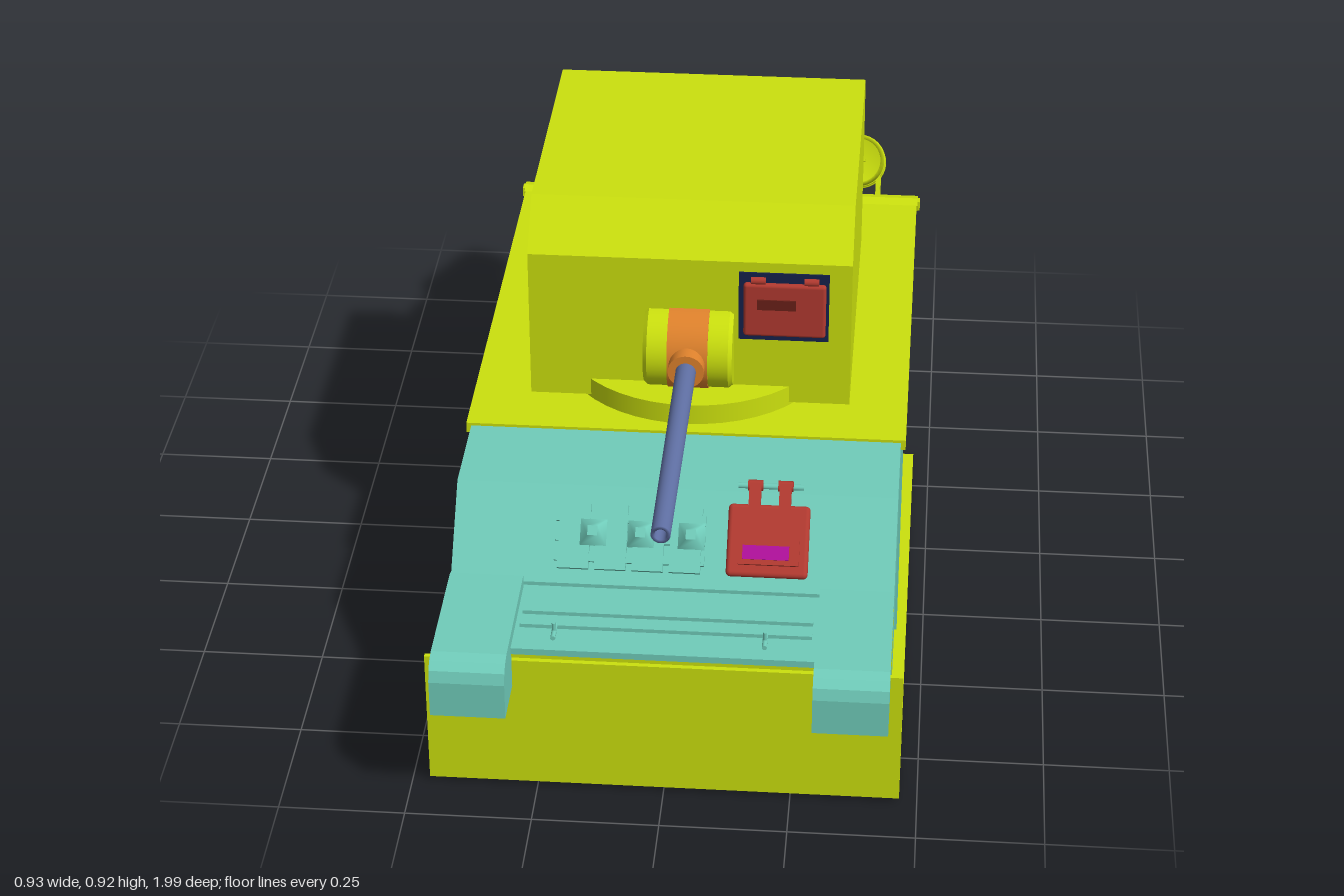
import * as THREE from 'three';
import { RoundedBoxGeometry } from 'three/addons/geometries/RoundedBoxGeometry.js';

const mat = (color) => new THREE.MeshStandardMaterial({ color, side: THREE.DoubleSide });
const yellow = mat(0xcbe00e), teal = mat(0x70ccba), red = mat(0xb23a30), orange = mat(0xdf822c);
const navy = mat(0x14224c), steel = mat(0x5f6fa3), magenta = mat(0xb0109c), dark = mat(0x6a2018);

function add(parent, name, geo, material, x = 0, y = 0, z = 0) {
  const m = new THREE.Mesh(geo, material);
  m.name = name;
  m.position.set(x, y, z);
  parent.add(m);
  return m;
}

// Box given by its limits on each axis
function box(parent, name, material, x0, x1, y0, y1, z0, z1) {
  return add(parent, name, new THREE.BoxGeometry(x1 - x0, y1 - y0, z1 - z0), material,
    (x0 + x1) / 2, (y0 + y1) / 2, (z0 + z1) / 2);
}

// Side profile of [z, y] points, extruded from x0 to x1
function prism(parent, name, material, pts, x0, x1) {
  const shape = new THREE.Shape(pts.map(([z, y]) => new THREE.Vector2(-z, y)));
  const geo = new THREE.ExtrudeGeometry(shape, { depth: x1 - x0, bevelEnabled: false });
  geo.rotateY(Math.PI / 2);
  return add(parent, name, geo, material, x0);
}

function rod(parent, name, material, r, len, x, y, z, axis = 'y', seg = 24) {
  const geo = new THREE.CylinderGeometry(r, r, len, seg);
  if (axis === 'x') geo.rotateZ(Math.PI / 2);
  if (axis === 'z') geo.rotateX(Math.PI / 2);
  return add(parent, name, geo, material, x, y, z);
}

// Fuel drum: open at the rear, capped at the front, axis along local z
function fuelDrum(parent, x) {
  const g = new THREE.Group();
  g.name = 'fuelDrum';
  const profile = [[0, 0.118], [0.05, 0.118], [0.05, 0.126], [0.058, 0.126], [0.058, -0.126], [0.051, -0.126],
    [0.051, 0.1], [0, 0.1]].map(([r, h]) => new THREE.Vector2(r, h));
  const shell = new THREE.LatheGeometry(profile, 32);
  shell.rotateX(Math.PI / 2);
  shell.computeVertexNormals();
  add(g, 'drumShell', shell, yellow);
  for (const z of [-0.07, 0.07]) {
    add(g, 'drumStrap', new THREE.TorusGeometry(0.058, 0.003, 6, 32), yellow, 0, 0, z);
    for (const s of [-1, 1]) box(g, 'drumBracket', yellow, s * 0.045 - 0.005, s * 0.045 + 0.005, -0.085, -0.03, z - 0.008, z + 0.008);
  }
  box(g, 'drumHandle', yellow, -0.016, 0.016, -0.003, 0.003, 0.115, 0.126);
  g.position.set(x, 0.502, -0.855);
  g.rotation.x = -0.51;
  parent.add(g);
}

function buildHull(root) {
  const hull = new THREE.Group();
  hull.name = 'hull';
  root.add(hull);
  box(hull, 'rearHull', yellow, -0.44, 0.44, 0.012, 0.48, -0.315, 0.3);
  box(hull, 'noseBox', yellow, -0.42, 0.42, 0.012, 0.33, 0.68, 0.88);
  box(hull, 'frontPlate', yellow, -0.465, 0.465, 0.01, 0.302, 0.882, 0.892);
  box(hull, 'floorPlate', yellow, -0.465, 0.465, 0.008, 0.011, -0.365, 0.89);
  prism(hull, 'frontHull', teal, [[0.685, 0], [0.685, 0.345], [0.55, 0.49], [0.3, 0.49], [0.3, 0]], -0.44, 0.44);

  for (const s of [-1, 1]) {
    // Recessed nose sides between posts, and seam strips
    for (const z of [0.69, 0.87]) box(hull, 'nosePost', yellow, s * 0.43 - 0.01, s * 0.43 + 0.01, 0.012, 0.33, z - 0.012, z + 0.012);
    box(hull, 'noseRail', yellow, s * 0.43 - 0.01, s * 0.43 + 0.01, 0.305, 0.33, 0.69, 0.87);
    box(hull, 'seamStrip', teal, s * 0.442 - 0.003, s * 0.442 + 0.003, 0.01, 0.473, 0.302, 0.325);
    // Fenders with a rounded drop at the front
    prism(hull, 'fender', teal, [[0.69, 0.335], [0.69, 0.362], [0.955, 0.362], [0.978, 0.356], [0.993, 0.343],
      [1, 0.32], [1, 0.243], [0.893, 0.243], [0.893, 0.335]], s * 0.367 - 0.073, s * 0.367 + 0.073);
    // Tow hooks on the hood
    const hx = s * 0.205 - 0.01;
    rod(hull, 'hookPost', teal, 0.004, 0.03, hx, 0.351, 0.85, 'y', 10);
    rod(hull, 'hookBar', teal, 0.005, 0.045, hx, 0.345, 0.85, 'z', 10);
  }
  // Hood with its ledges
  box(hull, 'hood', teal, -0.295, 0.295, 0.323, 0.337, 0.68, 0.9);
  for (const z of [0.78, 0.825]) box(hull, 'hoodLedge', teal, -0.285, 0.285, 0.335, 0.345, z - 0.004, z + 0.004);

  // Fittings on the sloped front, local z points away from the plate
  const slope = new THREE.Group();
  slope.name = 'slopeFittings';
  slope.position.set(0, 0.4175, 0.6175);
  slope.rotation.x = -0.75;
  hull.add(slope);
  for (let i = 0; i < 4; i++) {
    const x = -0.198 + i * 0.074;
    box(slope, 'trackLink', teal, x - 0.031, x + 0.031, -0.07, 0.06, 0, 0.014);
    for (const y of [-0.045, -0.005, 0.035]) box(slope, 'trackPin', teal, x - 0.038, x + 0.038, y - 0.01, y + 0.01, 0, 0.012);
  }
  for (const x of [-0.16, -0.065, 0.035]) {
    const horn = add(slope, 'trackHorn', new THREE.CylinderGeometry(0.014, 0.038, 0.026, 4, 1), teal, x, 0.003, 0.026);
    horn.geometry.rotateY(Math.PI / 4);
    horn.geometry.rotateX(Math.PI / 2);
  }
  add(slope, 'driverVisor', new RoundedBoxGeometry(0.162, 0.145, 0.02, 3, 0.009), red, 0.187, 0, 0.012);
  box(slope, 'visorFrame', red, 0.13, 0.25, -0.05, 0, 0.018, 0.032);
  box(slope, 'visorSlot', magenta, 0.138, 0.23, -0.04, -0.012, 0.028, 0.034);
  for (const x of [0.157, 0.217]) {
    box(slope, 'visorHinge', red, x - 0.012, x + 0.012, 0.04, 0.115, 0.008, 0.022);
    rod(slope, 'hingePin', red, 0.011, 0.03, x, 0.112, 0.01, 'x', 12);
  }
  rod(hull, 'hingeBar', teal, 0.006, 0.13, 0.187, 0.496, 0.535, 'x', 10);
}

function buildDeck(root) {
  const deck = new THREE.Group();
  deck.name = 'deck';
  root.add(deck);
  box(deck, 'deckPlate', yellow, -0.45, 0.45, 0.474, 0.496, -0.665, 0.345);
  // Engine cover ribs above and below the overhang
  for (const x of [-0.22, -0.085, -0.065, 0.065, 0.085, 0.22]) {
    box(deck, 'deckRib', yellow, x - 0.004, x + 0.004, 0.467, 0.502, -0.66, -0.4);
  }
  add(deck, 'liftRing', new THREE.TorusGeometry(0.016, 0.004, 8, 20), steel, 0, 0.506, -0.63);

  // Sloped tail plate with downturned edges
  prism(deck, 'tailPlate', yellow, [[-0.66, 0.496], [-0.675, 0.507], [-0.695, 0.503], [-0.915, 0.374], [-0.917, 0.356],
    [-0.9, 0.362], [-0.69, 0.482], [-0.665, 0.48]], -0.452, 0.452);
  for (const s of [-1, 1]) {
    prism(deck, 'tailEdge', yellow, [[-0.67, 0.5], [-0.69, 0.5], [-0.917, 0.368], [-0.917, 0.355], [-0.67, 0.478]],
      s * 0.454 - 0.003, s * 0.454 + 0.003);
  }
  fuelDrum(deck, -0.341);
  fuelDrum(deck, 0.313);
}

function buildTurret(root) {
  const turret = new THREE.Group();
  turret.name = 'turret';
  root.add(turret);
  prism(turret, 'turretBody', yellow, [[0.225, 0.503], [0.225, 0.83], [0.135, 0.92], [-0.44, 0.92], [-0.48, 0.83], [-0.48, 0.503]], -0.33, 0.33);
  rod(turret, 'turretRing', yellow, 0.28, 0.045, 0, 0.518, 0.035, 'y', 48);

  // Mantlet, collar and gun barrel
  rod(turret, 'mantlet', yellow, 0.087, 0.166, 0, 0.628, 0.215, 'x', 40);
  for (const s of [-1, 1]) {
    const rim = add(turret, 'mantletRim', new THREE.CylinderGeometry(0.08, 0.087, 0.008, 40), yellow, s * 0.087, 0.628, 0.215);
    rim.rotation.z = -s * Math.PI / 2;
  }
  rod(turret, 'mantletBand', orange, 0.09, 0.083, 0, 0.628, 0.215, 'x', 40);
  rod(turret, 'gunCollar', orange, 0.037, 0.06, 0, 0.628, 0.299, 'z', 28);
  const bore = [[0.012, 0.5], [0.012, 0.62], [0.019, 0.62], [0.021, 0], [0, 0]].map(([r, h]) => new THREE.Vector2(r, h));
  const barrel = new THREE.LatheGeometry(bore.reverse(), 24);
  barrel.rotateX(Math.PI / 2);
  add(turret, 'gunBarrel', barrel, steel, 0, 0.628, 0.298);
  rod(turret, 'boreEnd', magenta, 0.013, 0.01, 0, 0.628, 0.86, 'z', 16);

  // Front hatch
  box(turret, 'hatchFrame', navy, 0.1, 0.284, 0.652, 0.808, 0.22, 0.228);
  add(turret, 'hatchDoor', new RoundedBoxGeometry(0.168, 0.122, 0.016, 3, 0.007), red, 0.194, 0.725, 0.23);
  box(turret, 'hatchSlot', dark, 0.138, 0.217, 0.729, 0.752, 0.23, 0.241);
  for (const x of [0.14, 0.248]) rod(turret, 'hatchHinge', red, 0.008, 0.03, x, 0.791, 0.229, 'x', 12);
}

export function createModel() {
  const root = new THREE.Group();
  root.name = 'tank';
  buildHull(root);
  buildDeck(root);
  buildTurret(root);
  return root;
}
